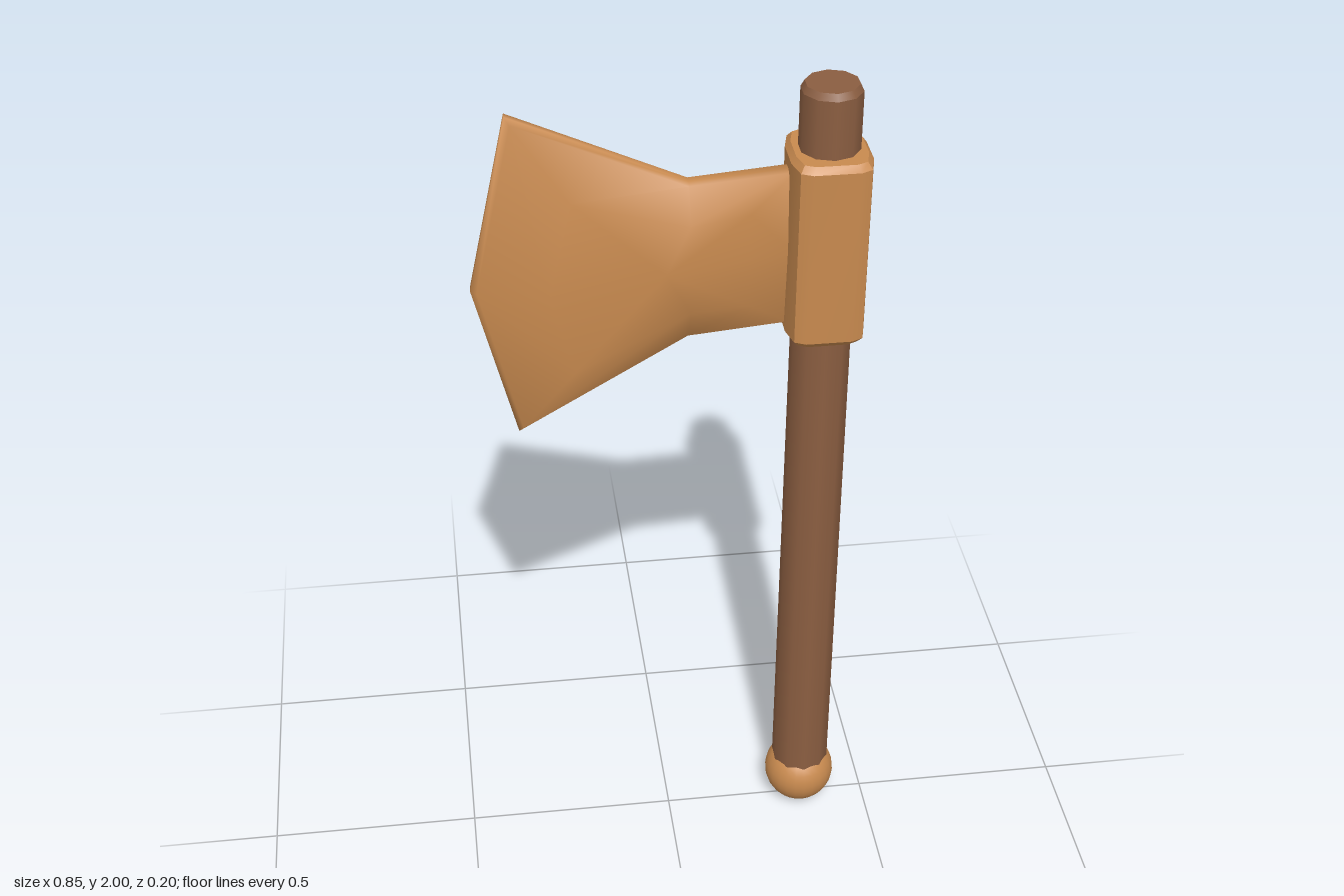
import * as THREE from 'three';
import { toCreasedNormals } from 'three/addons/utils/BufferGeometryUtils.js';

const POLE_X = 0.337;

// Skin a stack of closed loops and cap both ends with a fan
function loft(rings) {
  const n = rings[0].length;
  const verts = rings.flat();
  const index = [];
  for (let k = 0; k < rings.length - 1; k++) {
    for (let i = 0; i < n; i++) {
      const j = (i + 1) % n;
      const a = k * n + i, b = k * n + j;
      index.push(a, b, b + n, a, b + n, a + n);
    }
  }
  const centre = (ring) => [0, 1, 2].map((c) => ring.reduce((s, p) => s + p[c], 0) / n);
  const start = verts.push(centre(rings[0])) - 1;
  const end = verts.push(centre(rings[rings.length - 1])) - 1;
  const last = (rings.length - 1) * n;
  for (let i = 0; i < n; i++) {
    const j = (i + 1) % n;
    index.push(start, j, i, end, last + i, last + j);
  }
  const geo = new THREE.BufferGeometry();
  geo.setAttribute('position', new THREE.Float32BufferAttribute(verts.flat(), 3));
  geo.setIndex(index);
  geo.computeVertexNormals();
  return geo;
}

export function createModel() {
  const group = new THREE.Group();
  const darkWood = new THREE.MeshStandardMaterial({ name: 'darkWood', color: 0x8b5e41 });
  const lightWood = new THREE.MeshStandardMaterial({ name: 'lightWood', color: 0xc88a4f });
  const add = (name, geometry, material, x = 0, y = 0) => {
    const mesh = new THREE.Mesh(geometry, material);
    mesh.name = name;
    mesh.position.set(x, y, 0);
    group.add(mesh);
  };

  // Ten-sided handle, slightly tapered, with a chamfered top
  const profile = [
    [0, 0.14], [0.07, 0.14], [0.07, 0.14], [0.066, 1.985],
    [0.066, 1.985], [0.058, 2], [0.058, 2], [0, 2],
  ].map(([r, y]) => new THREE.Vector2(r, y));
  add('handle', new THREE.LatheGeometry(profile, 10), darkWood, POLE_X);

  // Round pommel
  add('pommel', new THREE.SphereGeometry(0.086, 24, 16), lightWood, POLE_X, 0.09);

  // Collar: softly bulged box with chamfered ends
  const quarter = [[0.087, 0.04], [0.075, 0.088], [0.05, 0.1]];
  const flip = (sx, sz) => quarter.map(([x, z]) => [x * sx, z * sz]);
  const plan = [
    ...flip(1, -1), ...flip(-1, -1).reverse(),
    ...flip(-1, 1), ...flip(1, 1).reverse(),
  ];
  const collarRing = (y, s) => plan.map(([x, z]) => [x * s, y, z * s]);
  const collar = loft([
    collarRing(1.42, 0.88), collarRing(1.434, 1), collarRing(1.84, 1), collarRing(1.854, 0.88),
  ]);
  add('collar', toCreasedNormals(collar, 0.6), lightWood, POLE_X);

  // Blade: thick cheeks sloping to a thin rounded rim
  const edge = [
    [0.27, 1.44], [0.27, 1.63], [0.27, 1.815], [0.04, 1.797],
    [-0.336, 1.966], [-0.425, 1.565], [-0.336, 1.2], [0.04, 1.42],
  ];
  const cheek = [
    [0.165, 1.52], [0.165, 1.63], [0.165, 1.74], [0.04, 1.72],
    [-0.21, 1.79], [-0.26, 1.565], [-0.21, 1.38], [0.04, 1.51],
  ];
  const shoulder = edge.map(([x, y], i) => [
    THREE.MathUtils.lerp(x, cheek[i][0], 0.08), THREE.MathUtils.lerp(y, cheek[i][1], 0.08),
  ]);
  const ring = (pts, z, neckZ = z) => pts.map(([x, y], i) => [x, y, i === 1 ? neckZ : z]);
  add('blade', loft([
    ring(cheek, -0.065), ring(shoulder, -0.02, -0.037), ring(edge, -0.009, -0.02),
    ring(edge, 0.009, 0.02), ring(shoulder, 0.02, 0.037), ring(cheek, 0.065),
  ]), lightWood);

  return group;
}
